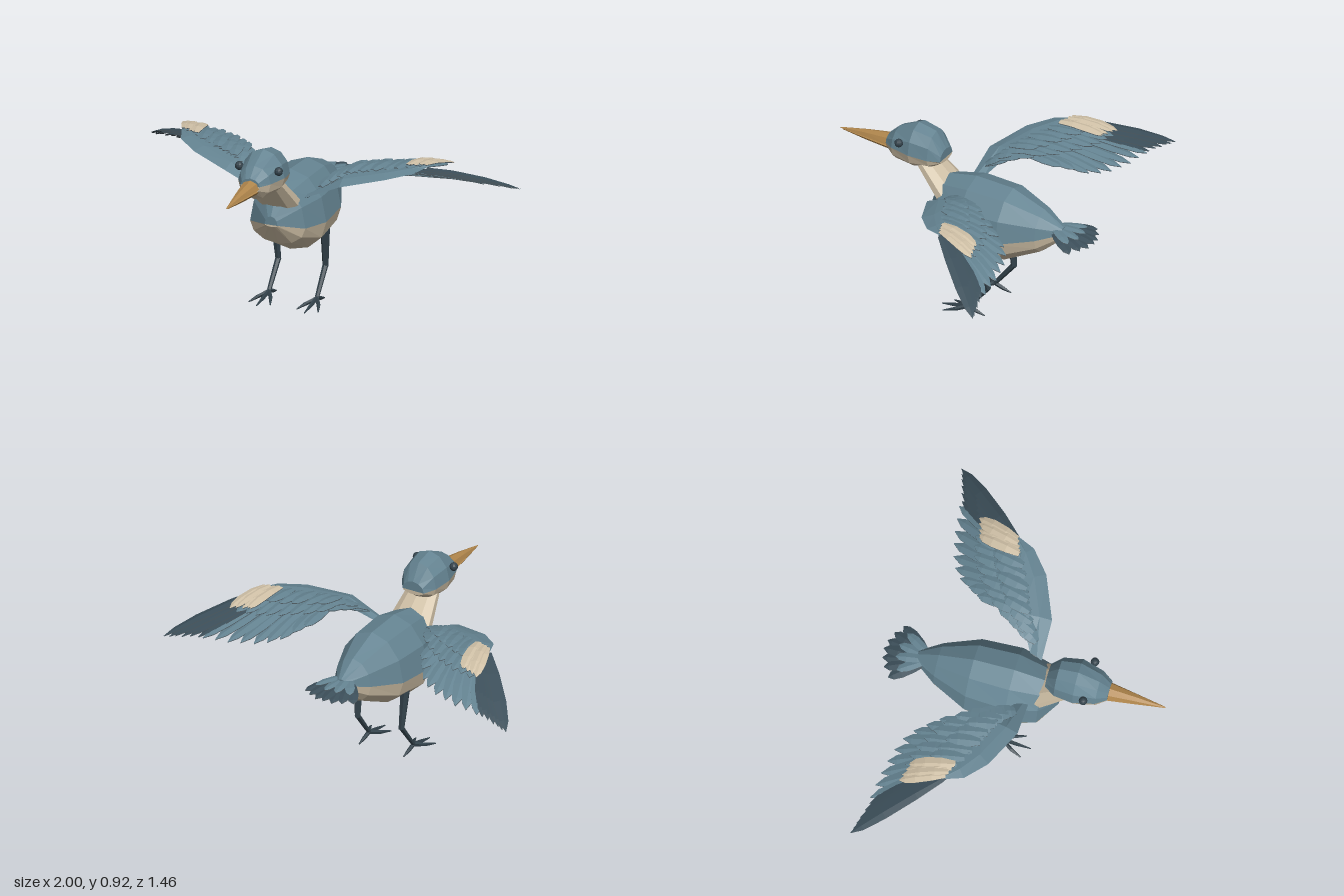
import * as THREE from 'three';
import { mergeGeometries } from 'three/addons/utils/BufferGeometryUtils.js';

const BLUE = 0x648391, CREAM = 0xcfc0a6, DARK = 0x33424b, SLATE = 0x3c4f5a, UNDER = 0x434e54, BEAK = 0xb0864c;
const V = (x, y, z) => new THREE.Vector3(x, y, z);
const mats = {};
const mat = (color) => (mats[color] ??= new THREE.MeshStandardMaterial({ color, flatShading: true, side: THREE.DoubleSide }));

function add(parent, name, geo, color) {
  const m = new THREE.Mesh(geo, mat(color));
  m.name = name;
  parent.add(m);
  return m;
}

// Skin over rings of points; keep(j) picks the facets around the ring
function loft(rings, keep = () => true, flip = false) {
  const pts = [], n = rings[0].length;
  for (let i = 0; i < rings.length - 1; i++) {
    for (let j = 0; j < n; j++) {
      if (!keep(j)) continue;
      const k = (j + 1) % n, [p, q] = [rings[i], rings[i + 1]];
      const t = [p[j], q[j], p[k], p[k], q[j], q[k]];
      pts.push(...(flip ? t.reverse() : t));
    }
  }
  const g = new THREE.BufferGeometry().setFromPoints(pts);
  g.computeVertexNormals();
  return g;
}

// Egg-shaped cross-sections, front to back: [z, centre y, upper, lower, half width]
function sections(rows, sides) {
  const first = rows[0], last = rows[rows.length - 1];
  const tiny = ([z, y]) => [z, y, 0.001, 0.001, 0.001];
  return [tiny(first), ...rows, tiny(last)].map(([z, y, up, low, w]) =>
    Array.from({ length: sides }, (_, j) => {
      const a = (j / sides) * Math.PI * 2, s = Math.sin(a);
      return V(w * Math.cos(a), y + s * (s > 0 ? up : low), z);
    }));
}

// Tapered round bar between two points
function bar(a, b, r0, r1, sides = 6) {
  const d = b.clone().sub(a);
  const g = new THREE.CylinderGeometry(r1, r0, d.length(), sides);
  g.applyQuaternion(new THREE.Quaternion().setFromUnitVectors(V(0, 1, 0), d.normalize()));
  const c = a.clone().lerp(b, 0.5);
  return g.translate(c.x, c.y, c.z);
}

// One bowed, ridged feather: upper skin and under skin
function feather(root, tip, width, bow) {
  const dir = tip.clone().sub(root).normalize();
  const side = dir.clone().cross(V(0, 1, 0)).normalize();
  const skin = (drop) => [[0, 0.5], [0.3, 0.9], [0.65, 1], [0.88, 0.7], [1, 0.02]].map(([t, w]) => {
    const c = root.clone().lerp(tip, t);
    c.y += bow * 4 * t * (1 - t) - drop;
    const s = side.clone().multiplyScalar(w * width / 2);
    return [c.clone().add(s), c.clone().add(V(0, width * 0.1 * w, 0)), c.clone().sub(s)];
  });
  return { top: loft(skin(0), (j) => j < 2), under: loft(skin(0.004), (j) => j < 2, true) };
}

// A row of feathers whose roots and tips follow two curves
function featherRow(parent, name, roots, tips, n, width, bow, color) {
  const rc = new THREE.CatmullRomCurve3(roots), tc = new THREE.CatmullRomCurve3(tips);
  const all = Array.from({ length: n }, (_, i) => {
    const t = i / (n - 1), lift = V(0, i % 2 * 0.003, 0);
    return feather(rc.getPoint(t).add(lift), tc.getPoint(t).add(lift), width, bow);
  });
  add(parent, name, mergeGeometries(all.map((f) => f.top)), color);
  add(parent, name + 'Underside', mergeGeometries(all.map((f) => f.under)), UNDER);
}

function wing(s) {
  const g = new THREE.Group();
  g.name = s > 0 ? 'leftWing' : 'rightWing';
  const P = (list) => list.map(([x, y, z]) => V(s * x, y, z));

  // Arm: thin diamond sections from shoulder to wrist, rising towards the back
  const lead = P([[0.12, 0.605, 0.055], [0.31, 0.69, 0.055], [0.52, 0.73, -0.035], [0.63, 0.747, -0.13], [0.67, 0.758, -0.23]]);
  const trail = P([[0.14, 0.62, -0.01], [0.29, 0.725, -0.1], [0.44, 0.742, -0.17], [0.54, 0.75, -0.21], [0.66, 0.76, -0.24]]);
  const rings = lead.map((a, i) => {
    const mid = a.clone().lerp(trail[i], 0.4), h = i === 4 ? 0.004 : 0.01;
    return [a, mid.clone().add(V(0, h, 0)), trail[i], mid.clone().add(V(0, -h, 0))];
  });
  add(g, 'arm', loft(rings, (j) => j < 2, s < 0), BLUE);
  add(g, 'armUnderside', loft(rings, (j) => j > 1, s < 0), UNDER);

  // Lower sheet: long outer and inner flight feathers, sloping down to the back
  featherRow(g, 'primaryFeathers', P([[0.6, 0.73, -0.2], [0.66, 0.745, -0.23]]),
    P([[0.83, 0.58, -0.56], [0.93, 0.57, -0.59], [1, 0.56, -0.61]]), 6, 0.066, 0.014, SLATE);
  featherRow(g, 'secondaryFeathers', P([[0.34, 0.7, -0.08], [0.42, 0.71, -0.12], [0.5, 0.718, -0.16], [0.6, 0.73, -0.2]]),
    P([[0.34, 0.675, -0.34], [0.45, 0.62, -0.48], [0.62, 0.595, -0.54], [0.8, 0.585, -0.565]]), 9, 0.074, 0.004, BLUE);

  // Upper sheet: flatter covering feathers
  const roots = P([[0.19, 0.66, 0.01], [0.31, 0.725, -0.06], [0.48, 0.742, -0.13], [0.62, 0.757, -0.21]]);
  featherRow(g, 'longCoverts', roots,
    P([[0.24, 0.7, -0.1], [0.3, 0.727, -0.24], [0.42, 0.722, -0.35], [0.55, 0.715, -0.42], [0.68, 0.708, -0.44]]), 11, 0.07, 0.004, BLUE);
  featherRow(g, 'shortCoverts', roots.map((p) => p.clone().add(V(0, 0.004, 0))),
    P([[0.23, 0.7, -0.06], [0.31, 0.735, -0.17], [0.43, 0.742, -0.26], [0.55, 0.744, -0.32], [0.65, 0.745, -0.34]]), 10, 0.07, 0.005, BLUE);
  featherRow(g, 'paleFeathers', P([[0.575, 0.768, -0.19], [0.65, 0.77, -0.22]]),
    P([[0.62, 0.73, -0.41], [0.72, 0.718, -0.44]]), 5, 0.055, 0.014, CREAM);
  return g;
}

function leg(s) {
  const g = new THREE.Group();
  g.name = s > 0 ? 'leftLeg' : 'rightLeg';
  const hip = V(s * 0.137, 0.4, -0.165), knee = V(s * 0.128, 0.165, -0.19), foot = V(s * 0.13, 0.035, -0.08);
  add(g, 'thigh', bar(hip, knee, 0.026, 0.015), DARK);
  add(g, 'shin', bar(knee.clone().add(V(0, 0.01, -0.002)), foot, 0.015, 0.011), DARK);
  for (const [x, z] of [[-0.058, 0.035], [0, 0.072], [0.058, 0.035], [0, -0.172]]) {
    const mid = V(foot.x + x * 0.6, 0.019, foot.z + (z - foot.z) * 0.5);
    add(g, 'toe', bar(foot, mid, 0.011, 0.01, 5), DARK);
    add(g, 'claw', bar(mid, V(foot.x + x, 0.006, z), 0.01, 0.003, 5), DARK);
  }
  return g;
}

export function createModel() {
  const bird = new THREE.Group();
  bird.name = 'bird';

  // Body and head, blue above and cream below
  const twoTone = (name, rows, sides) => {
    const r = sections(rows, sides);
    add(bird, name + 'Upper', loft(r, (j) => j < sides / 2), BLUE);
    add(bird, name + 'Lower', loft(r, (j) => j >= sides / 2), CREAM);
  };
  twoTone('body', [
    [0.187, 0.49, 0.045, 0.01, 0.035], [0.105, 0.465, 0.215, 0.1, 0.15], [-0.05, 0.455, 0.255, 0.17, 0.195],
    [-0.26, 0.465, 0.235, 0.15, 0.182], [-0.44, 0.5, 0.13, 0.1, 0.105], [-0.55, 0.53, 0.03, 0.035, 0.032]], 12);
  twoTone('head', [
    [0.442, 0.782, 0.038, 0.045, 0.052], [0.39, 0.785, 0.085, 0.09, 0.088], [0.28, 0.785, 0.137, 0.097, 0.115],
    [0.18, 0.775, 0.125, 0.068, 0.1], [0.125, 0.765, 0.05, 0.02, 0.062]], 12);
  // Neck, wider than deep
  add(bird, 'neck', bar(V(0, 0.597, 0.1), V(0, 0.73, 0.228), 0.057, 0.042, 10).scale(2.1, 1, 1), CREAM);

  // Beak
  add(bird, 'upperBeak', loft(sections([[0.73, 0.757, 0.003, 0.002, 0.003], [0.58, 0.763, 0.027, 0.006, 0.027],
    [0.42, 0.768, 0.045, 0.01, 0.052]], 8)), BEAK);
  add(bird, 'lowerBeak', loft(sections([[0.715, 0.754, 0.002, 0.004, 0.003], [0.58, 0.755, 0.004, 0.017, 0.025],
    [0.42, 0.756, 0.005, 0.025, 0.048]], 8)), BEAK);

  // Tail fan
  const tips = [-3, -2, -1, 0, 1, 2, 3].map((i) => V(i * 0.047, 0.515 - Math.abs(i) * 0.001, -0.725 + i * i * 0.007));
  featherRow(bird, 'tailFeathers', [V(-0.03, 0.535, -0.51), V(0.03, 0.535, -0.51)], tips, 7, 0.062, 0.008, SLATE);
  featherRow(bird, 'tailCoverts', [V(-0.02, 0.55, -0.5), V(0.02, 0.55, -0.5)],
    [V(-0.1, 0.535, -0.63), V(0, 0.537, -0.66), V(0.1, 0.535, -0.63)], 4, 0.05, 0.004, BLUE);

  for (const s of [1, -1]) {
    const eye = add(bird, s > 0 ? 'leftEye' : 'rightEye', new THREE.SphereGeometry(0.022, 10, 8), DARK);
    eye.position.set(s * 0.107, 0.838, 0.335);
    bird.add(wing(s), leg(s));
  }
  return bird;
}
